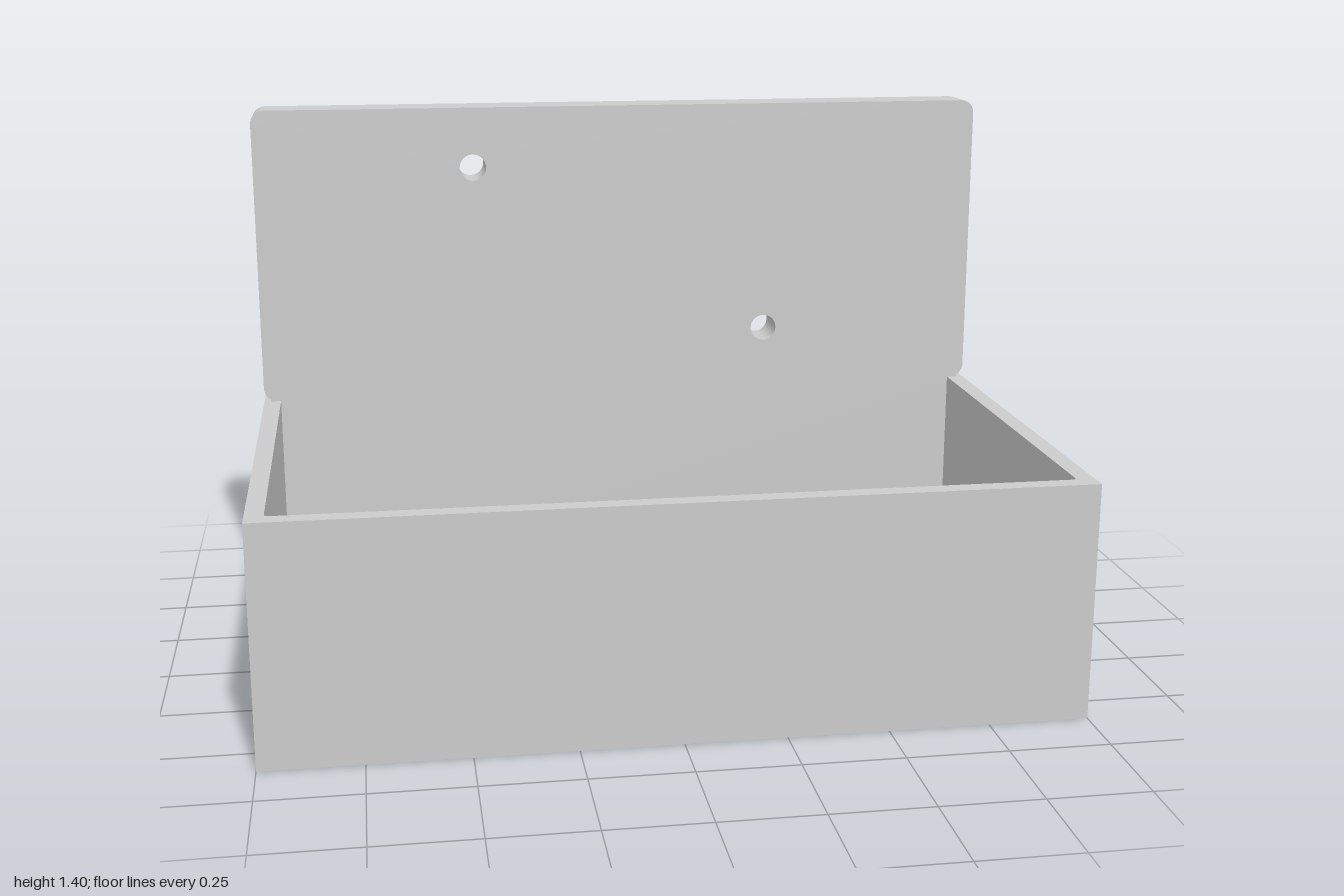
import * as THREE from 'three';

const W = 1, D = 0.6, H = 0.6, TOP = 1.4; // half width, half depth, tray height, panel top
const WALL = 0.045, FLOOR = 0.05, BACK = 0.12, R = 0.035;

export function createModel() {
  const group = new THREE.Group();
  const material = new THREE.MeshStandardMaterial({ color: 0xcccccc });
  const add = (name, geometry) => {
    const mesh = new THREE.Mesh(geometry, material);
    mesh.name = name;
    group.add(mesh);
    return mesh;
  };

  // Back panel: rear wall of the tray carried up into a plate, with a small notch at each side
  const cx = W - R, cy = H + 0.037, a = Math.PI / 3;
  const panel = new THREE.Shape();
  panel.moveTo(-W, 0);
  panel.lineTo(W, 0);
  panel.lineTo(W, H);
  panel.lineTo(cx + R * Math.cos(a), H);
  panel.absarc(cx, cy, R, -a, 0, false);
  panel.absarc(cx, TOP - R, R, 0, Math.PI / 2, false);
  panel.absarc(-cx, TOP - R, R, Math.PI / 2, Math.PI, false);
  panel.absarc(-cx, cy, R, Math.PI, Math.PI + a, false);
  panel.lineTo(-cx - R * Math.cos(a), H);
  panel.lineTo(-W, H);
  panel.closePath();

  // Two mounting holes, diagonally opposite
  for (const [x, y] of [[-0.41, 1.237], [0.405, 0.765]]) {
    const hole = new THREE.Path();
    hole.absarc(x, y, 0.036, 0, Math.PI * 2, true);
    panel.holes.push(hole);
  }
  add('backPanel', new THREE.ExtrudeGeometry(panel, { depth: BACK, bevelEnabled: false, curveSegments: 16 }))
    .position.z = -D;

  // Front and side walls: U-shaped plan with slightly rounded inner corners
  const ix = W - WALL, iz = D - WALL, back = D - BACK, r = 0.01;
  const walls = new THREE.Shape();
  walls.moveTo(-W, back);
  walls.lineTo(-W, -D);
  walls.lineTo(W, -D);
  walls.lineTo(W, back);
  walls.lineTo(ix, back);
  walls.absarc(ix - r, -iz + r, r, 0, -Math.PI / 2, true);
  walls.absarc(-ix + r, -iz + r, r, -Math.PI / 2, -Math.PI, true);
  walls.lineTo(-ix, back);
  walls.closePath();
  add('trayWalls', new THREE.ExtrudeGeometry(walls, { depth: H, bevelEnabled: false, curveSegments: 6 })
    .rotateX(-Math.PI / 2));

  // Tray floor
  add('trayFloor', new THREE.BoxGeometry(2 * ix, FLOOR, iz + back))
    .position.set(0, FLOOR / 2, (iz - back) / 2);

  return group;
}
